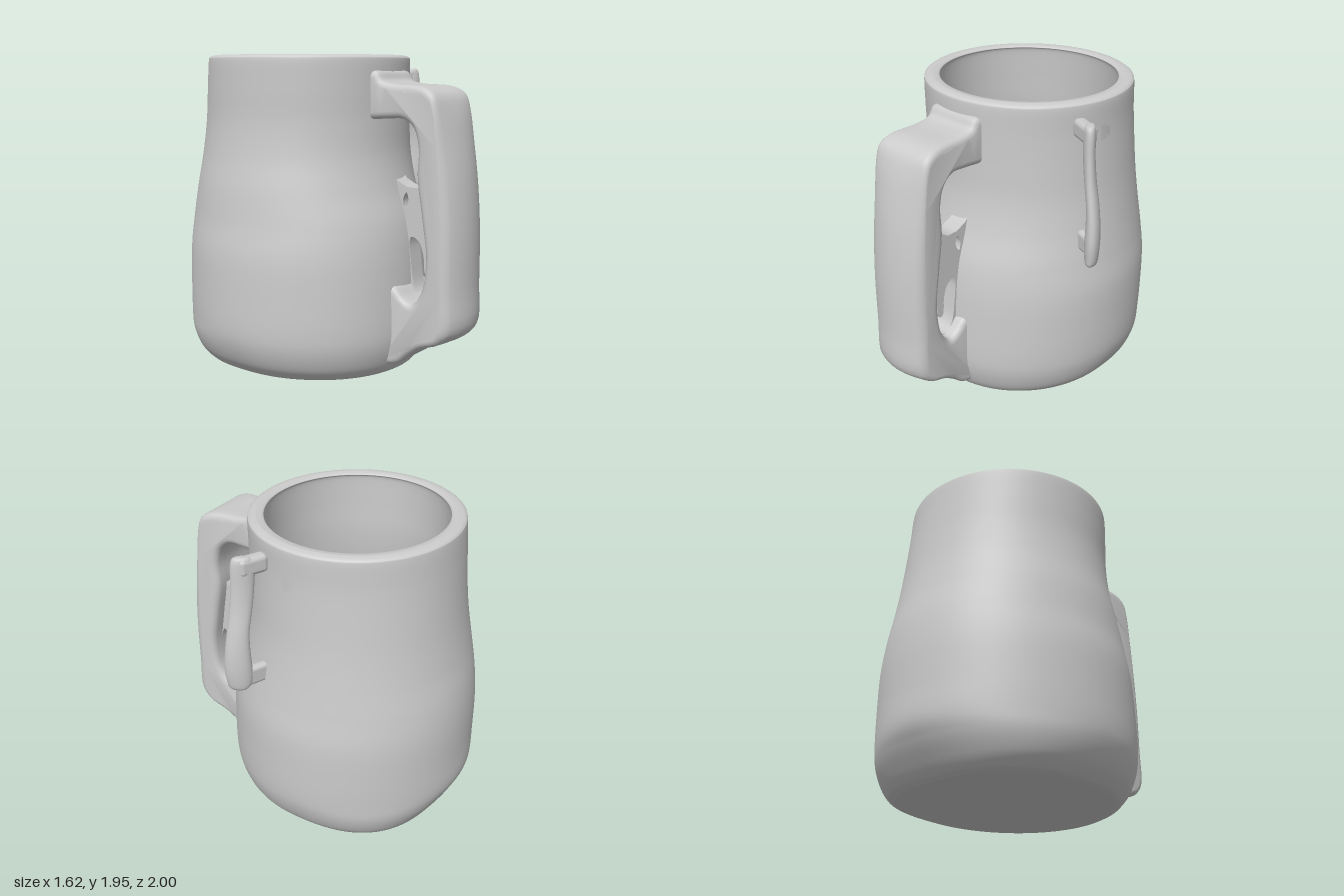
import * as THREE from 'three';
import { toCreasedNormals } from 'three/addons/utils/BufferGeometryUtils.js';
import { RoundedBoxGeometry } from 'three/addons/geometries/RoundedBoxGeometry.js';

const material = new THREE.MeshStandardMaterial({ color: 0xcccccc, side: THREE.DoubleSide });

function addMesh(group, name, geometry) {
  const mesh = new THREE.Mesh(geometry, material);
  mesh.name = name;
  group.add(mesh);
  return mesh;
}

// Skins rings given as [y, xMin, xMax, zMin, zMax, squareness of the back half], 2 being an oval;
// skip(x, y, z) leaves out faces.
function loft(sections, segments, steps, skip = () => false) {
  const spline = new THREE.CubicInterpolant(sections.map((s, i) => i), sections.flat(), 6);
  const count = (sections.length - 1) * steps;
  const pos = [], index = [];
  for (let i = 0; i <= count; i++) {
    const [y, x0, x1, z0, z1, n] = spline.evaluate(i / steps);
    for (let j = 0; j < segments; j++) {
      const a = j / segments * Math.PI * 2;
      const power = Math.sin(a) < 0 ? 2 / n : 1;
      const round = v => Math.sign(v) * Math.abs(v) ** power;
      pos.push((x0 + x1) / 2 + (x1 - x0) / 2 * round(Math.cos(a)), y,
        (z0 + z1) / 2 + (z1 - z0) / 2 * round(Math.sin(a)));
    }
  }
  for (let i = 0; i < count; i++) {
    for (let j = 0; j < segments; j++) {
      const a = i * segments + j, b = i * segments + (j + 1) % segments;
      const c = a + segments, d = b + segments;
      const mid = [0, 1, 2].map(k => (pos[a * 3 + k] + pos[d * 3 + k]) / 2);
      if (!skip(...mid)) index.push(a, c, b, b, c, d);
    }
  }
  const g = new THREE.BufferGeometry();
  g.setAttribute('position', new THREE.Float32BufferAttribute(pos, 3));
  g.setIndex(index);
  g.computeVertexNormals();
  return g;
}

const points = list => list.map(([z, y]) => new THREE.Vector2(z, y));
const smooth = (list, closed = false) => {
  const curve = new THREE.CatmullRomCurve3(list.map(([z, y]) => new THREE.Vector3(z, y, 0)), closed, 'centripetal');
  return curve.getPoints(list.length * 4).map(p => [p.x, p.y]);
};

// Extrudes a (z, y) side outline across x, centred on xMid.
function sideExtrude(shape, width, bevel, xMid) {
  const g = new THREE.ExtrudeGeometry(shape, {
    depth: width - 2 * bevel, steps: 6, bevelEnabled: bevel > 0, bevelSize: bevel,
    bevelThickness: bevel, bevelOffset: -bevel, bevelSegments: 4
  });
  g.translate(0, 0, -(width - 2 * bevel) / 2);
  g.rotateY(-Math.PI / 2);
  g.translate(xMid, 0, 0);
  return g;
}

export function createModel() {
  const group = new THREE.Group();

  // Mug body: outside from base to rim, then inside down to the floor
  const outer = [
    [0.10, -0.745, 0.66, -0.89, 0.56], [0.20, -0.79, 0.70, -0.95, 0.59],
    [0.31, -0.81, 0.72, -0.99, 0.60], [0.50, -0.81, 0.725, -0.99, 0.595],
    [0.75, -0.80, 0.72, -0.985, 0.58], [0.95, -0.77, 0.69, -0.965, 0.55],
    [1.15, -0.745, 0.66, -0.925, 0.49], [1.35, -0.71, 0.635, -0.89, 0.45],
    [1.55, -0.69, 0.62, -0.865, 0.44], [1.75, -0.69, 0.61, -0.845, 0.44],
    [1.91, -0.69, 0.61, -0.83, 0.44], [1.94, -0.68, 0.60, -0.82, 0.43]
  ];
  const inset = ([y, x0, x1, z0, z1], d) => [y, x0 + d, x1 - d, z0 + d, z1 - d];
  const inner = [...outer].reverse().map(s => inset(s, 0.085));
  const profile = [
    [0.005, -0.04, -0.04, -0.18, -0.18], [0.005, -0.32, 0.25, -0.5, 0.18],
    [0.005, -0.58, 0.51, -0.76, 0.44], [0.015, -0.65, 0.575, -0.81, 0.49],
    [0.04, -0.69, 0.615, -0.845, 0.525], ...outer,
    [1.95, -0.65, 0.57, -0.79, 0.40], [1.95, -0.62, 0.55, -0.76, 0.38], ...inner,
    [0.09, -0.32, 0.25, -0.5, 0.18], [0.09, -0.04, -0.04, -0.18, -0.18]
  ].map(s => [...s, 2 + 0.6 * Math.max(0, 1 - s[0] / 0.3)]); // squarer towards the base
  // Small puncture through the right wall
  const puncture = (x, y, z) => x > 0.3 && Math.hypot((z + 0.13) / 0.04, (y - 1.74) / 0.045) < 1;
  addMesh(group, 'mugBody', loft(profile, 160, 10, puncture));

  // Handle: broad C-shaped grip
  const back = smooth([
    [0.38, 1.86], [0.445, 1.85], [0.48, 1.80], [0.56, 1.78], [0.76, 1.765], [0.84, 1.72], [0.89, 1.62],
    [0.935, 1.45], [0.97, 1.25], [0.995, 0.95], [1.0, 0.6], [0.998, 0.36], [0.94, 0.295], [0.77, 0.235],
    [0.68, 0.175], [0.60, 0.11], [0.48, 0.08]
  ]);
  const inside = smooth([
    [0.48, 0.62], [0.58, 0.58], [0.64, 0.52], [0.70, 0.495], [0.77, 0.58], [0.80, 0.78], [0.77, 1.0],
    [0.73, 1.25], [0.735, 1.42], [0.70, 1.53], [0.63, 1.58], [0.52, 1.58], [0.38, 1.57]
  ]);
  const grip = sideExtrude(new THREE.Shape(points([...back, ...inside])), 0.43, 0.04, -0.045);
  // The arms are narrower than the grip, and the grip's outer face is domed
  const p = grip.attributes.position;
  for (let i = 0; i < p.count; i++) {
    const x = p.getX(i), z = p.getZ(i);
    const t = THREE.MathUtils.smoothstep(z, 0.62, 0.86);
    const dome = THREE.MathUtils.smoothstep(z, 0.82, 0.98) * ((x + 0.045) / 0.215) ** 2;
    p.setX(i, -0.035 + (x + 0.035) * (0.9 + 0.1 * t));
    p.setZ(i, z - 0.06 * dome);
  }
  addMesh(group, 'handleGrip', toCreasedNormals(grip, 0.7));

  // Thin web joining grip and body, with ragged openings
  const web = new THREE.Shape(points([
    [0.42, 1.27], [0.48, 1.20], [0.55, 1.165], [0.62, 1.16], [0.68, 1.19], [0.75, 1.27],
    [0.85, 1.2], [0.86, 0.6], [0.72, 0.42], [0.5, 0.45]
  ]));
  const opening = smooth([
    [0.585, 0.86], [0.64, 0.84], [0.675, 0.76], [0.69, 0.64], [0.715, 0.63], [0.735, 0.74], [0.74, 0.82],
    [0.775, 0.87], [0.80, 0.80], [0.785, 0.62], [0.70, 0.50], [0.63, 0.53], [0.59, 0.70]
  ], true);
  const nick = smooth([[0.55, 1.13], [0.525, 1.08], [0.54, 1.03], [0.565, 1.08]], true);
  web.holes.push(new THREE.Path(points(opening)), new THREE.Path(points(nick)));
  addMesh(group, 'handleWeb', toCreasedNormals(sideExtrude(web, 0.12, 0, 0.01), 0.7));

  // Spoon-like tag hanging beside the right wall, set at a slant
  const tag = loft([
    [1.03, 0.75, 0.75, 0.11, 0.11], [1.035, 0.72, 0.785, 0.07, 0.16], [1.08, 0.69, 0.80, 0.055, 0.17],
    [1.18, 0.69, 0.808, 0.05, 0.175], [1.30, 0.695, 0.80, 0.055, 0.17], [1.42, 0.69, 0.78, 0.065, 0.17],
    [1.55, 0.66, 0.755, 0.08, 0.175], [1.70, 0.635, 0.74, 0.09, 0.18], [1.82, 0.63, 0.735, 0.09, 0.18],
    [1.865, 0.65, 0.72, 0.10, 0.17], [1.87, 0.685, 0.685, 0.13, 0.13]
  ].map(s => [...s, 2]), 24, 3);
  const q = tag.attributes.position;
  for (let i = 0; i < q.count; i++) q.setZ(i, q.getZ(i) + 0.6 * (q.getX(i) - 0.73));
  tag.computeVertexNormals();
  addMesh(group, 'hangingTag', tag);
  const hook = addMesh(group, 'tagHook', new RoundedBoxGeometry(0.18, 0.11, 0.08, 3, 0.03));
  hook.position.set(0.63, 1.81, 0.08);
  hook.rotation.y = -0.45;
  const bridge = addMesh(group, 'tagBridge', new RoundedBoxGeometry(0.17, 0.12, 0.06, 3, 0.025));
  bridge.position.set(0.65, 1.11, 0.06);
  bridge.rotation.y = -0.4;

  return group;
}
